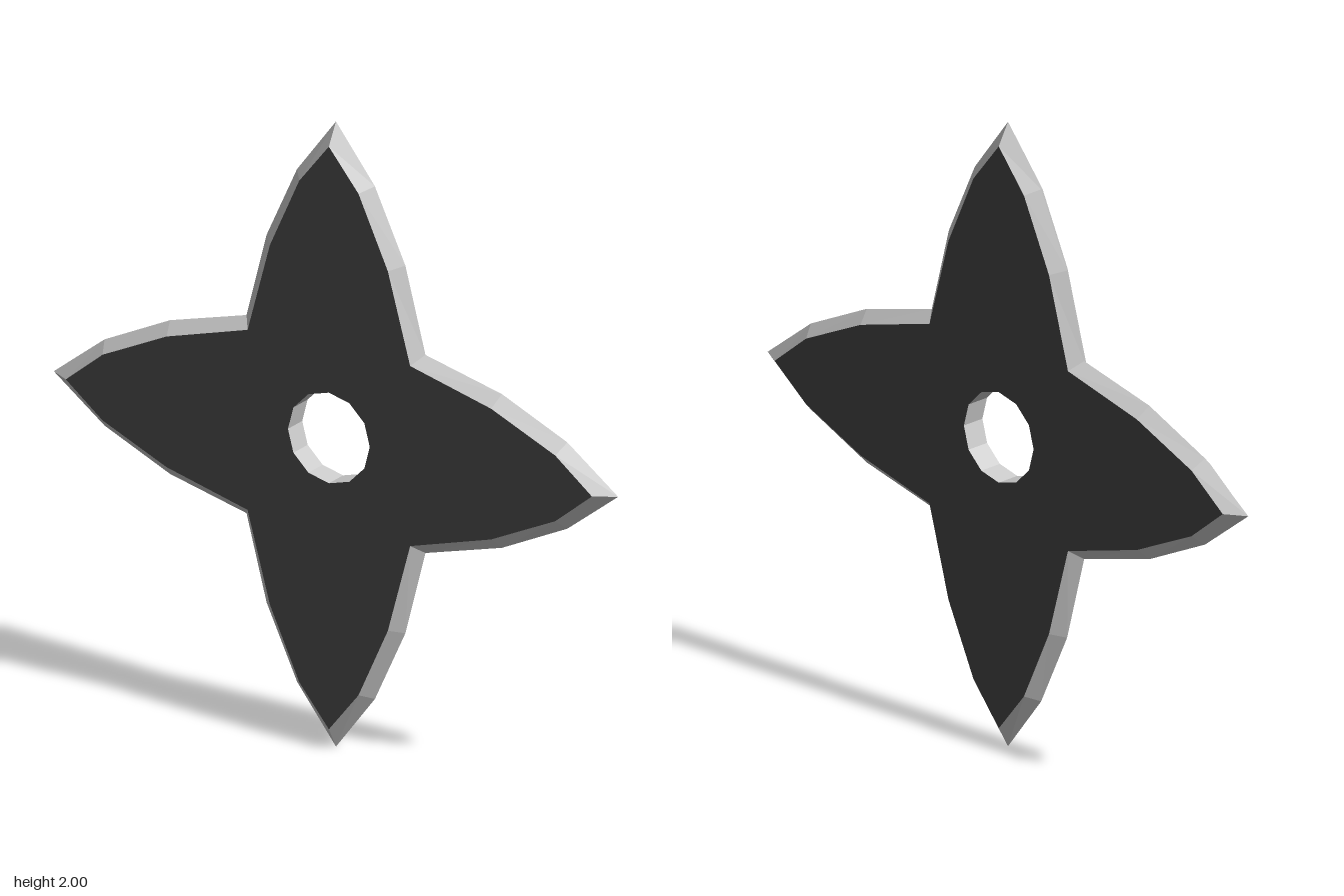
import * as THREE from 'three';

const HALF = 0.04; // half thickness of the plate

// Repeat one half-blade profile (tip to notch) into a four-pointed loop, anticlockwise
function starLoop([tip, shoulder, waist, notch]) {
  const mirror = ([x, y]) => [y, x];
  const quarter = [tip, mirror(shoulder), mirror(waist), notch, waist, shoulder];
  const loop = [];
  for (let k = 0; k < 4; k++) {
    const c = [1, 0, -1, 0][k], s = [0, 1, 0, -1][k];
    for (const [x, y] of quarter) loop.push(new THREE.Vector2(c * x - s * y, s * x + c * y));
  }
  return loop;
}

// Flat-shaded band between two loops at different depths
function band(lower, zLower, upper, zUpper) {
  const pos = [];
  lower.forEach((a, i) => {
    const j = (i + 1) % lower.length;
    const b = lower[j], c = upper[j], d = upper[i];
    pos.push(a.x, a.y, zLower, b.x, b.y, zLower, c.x, c.y, zUpper);
    pos.push(a.x, a.y, zLower, c.x, c.y, zUpper, d.x, d.y, zUpper);
  });
  const geo = new THREE.BufferGeometry();
  geo.setAttribute('position', new THREE.Float32BufferAttribute(pos, 3));
  geo.computeVertexNormals();
  return geo;
}

export function createModel() {
  const group = new THREE.Group();
  group.name = 'throwingStar';
  const steel = new THREE.MeshStandardMaterial({ color: 0xcccccc, flatShading: true });
  const dark = new THREE.MeshStandardMaterial({ color: 0x444444, flatShading: true });

  const add = (name, geo, mat) => {
    const mesh = new THREE.Mesh(geo, mat);
    mesh.name = name;
    mesh.position.y = 1;
    group.add(mesh);
    return mesh;
  };

  // Each profile: tip, shoulder, waist, notch
  const edge = starLoop([[1, 0], [0.138, 0.82], [0.246, 0.588], [0.317, 0.317]]);
  const face = starLoop([[0.932, 0], [0.105, 0.802], [0.209, 0.575], [0.288, 0.288]]);
  const hole = Array.from({ length: 12 }, (_, i) => {
    const t = (i * Math.PI) / 6;
    return new THREE.Vector2(Math.cos(t), Math.sin(t)).multiplyScalar(0.145);
  });

  // Dark flat faces with the centre hole
  const shape = new THREE.Shape(face);
  shape.holes.push(new THREE.Path(hole));
  const plate = new THREE.ShapeGeometry(shape);
  add('frontFace', plate, dark).position.z = HALF;
  const back = add('backFace', plate, dark);
  back.rotation.y = Math.PI;
  back.position.z = -HALF;

  // Ground cutting edges meeting at mid thickness
  add('frontBevel', band(edge, 0, face, HALF), steel);
  add('backBevel', band(face, -HALF, edge, 0), steel);

  // Inner wall of the hole, facing the centre
  const inward = [...hole].reverse();
  add('holeWall', band(inward, -HALF, inward, HALF), steel);

  return group;
}
